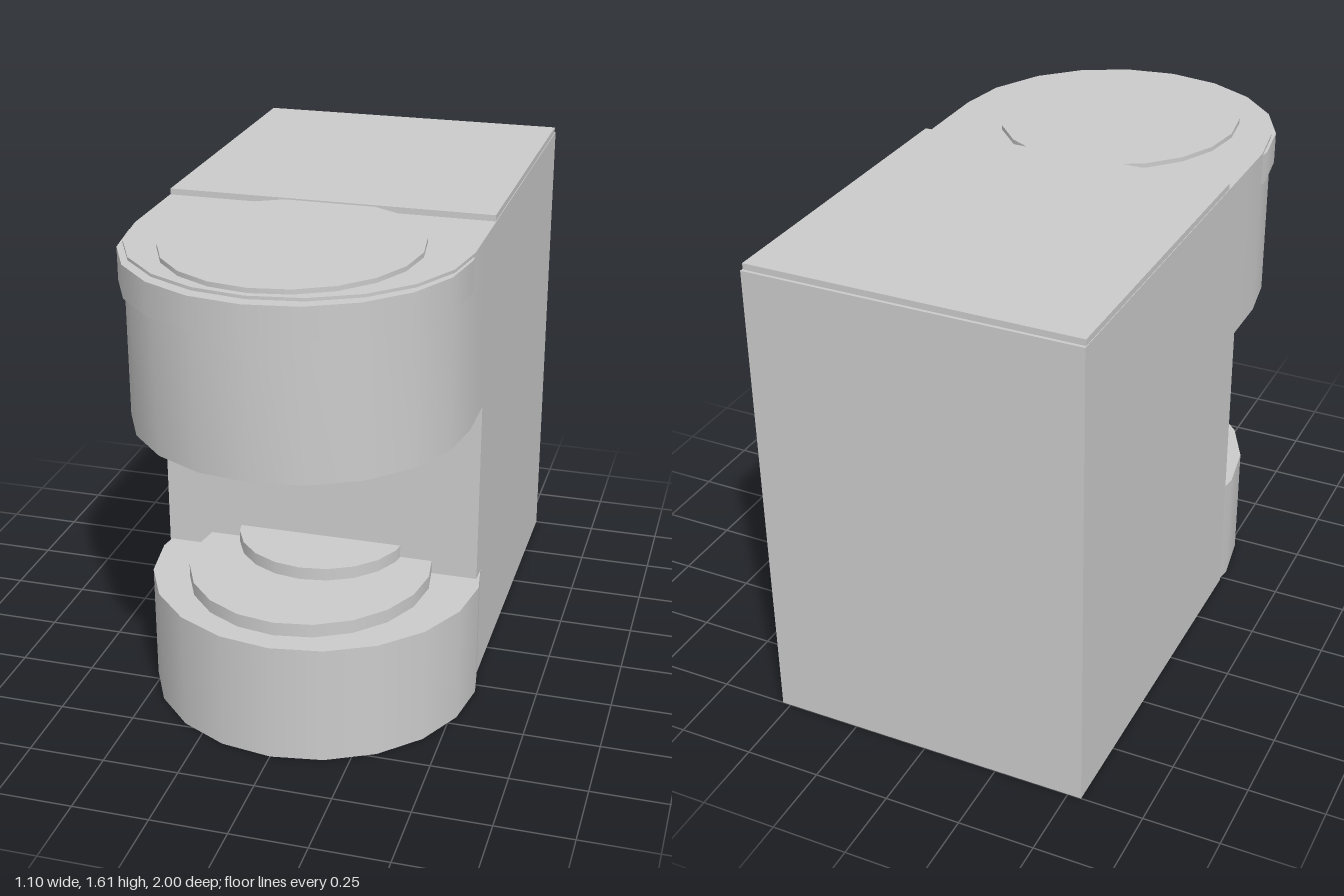
import * as THREE from 'three';
import { toCreasedNormals } from 'three/addons/utils/BufferGeometryUtils.js';

const material = new THREE.MeshStandardMaterial({ color: 0xcccccc });
const CX = -0.008; // centre line of the housing
const HALF = 0.537; // half width of the housing
const WALL = 0.235; // front wall of the cup recess

export function createModel() {
  const group = new THREE.Group();

  function add(name, geometry, x, y, z) {
    const mesh = new THREE.Mesh(geometry, material);
    mesh.name = name;
    mesh.position.set(x, y, z);
    group.add(mesh);
    return mesh;
  }

  // Block given by its vertical and depth limits
  function block(name, halfWidth, y0, y1, z0, z1) {
    add(name, new THREE.BoxGeometry(2 * halfWidth, y1 - y0, z1 - z0), CX, (y0 + y1) / 2, (z0 + z1) / 2);
  }

  // Slab with a straight back and a half-round front
  function roundFront(name, radius, y0, y1, back, centre) {
    const s = new THREE.Shape();
    s.moveTo(radius, -back);
    s.lineTo(-radius, -back);
    s.lineTo(-radius, -centre);
    s.absarc(0, -centre, radius, Math.PI, 2 * Math.PI, false);
    s.closePath();
    const g = new THREE.ExtrudeGeometry(s, { depth: y1 - y0, bevelEnabled: false, curveSegments: 5 });
    g.rotateX(-Math.PI / 2);
    add(name, toCreasedNormals(g, 0.5), CX, y0, 0);
  }

  // Flat disc, optionally stretched in depth
  function disc(name, x, radius, y0, y1, z, stretch = 1) {
    const g = new THREE.CylinderGeometry(radius, radius, y1 - y0, 20);
    add(name, g, x, (y0 + y1) / 2, z).scale.z = stretch;
  }

  // Housing and its raised rear lid
  block('body', HALF, 0, 1.59, -1, WALL);
  block('rearLid', HALF - 0.002, 1.59, 1.61, -0.99, 0.11);

  // Overhanging head with rim and lid
  roundFront('head', HALF, 1.018, 1.59, WALL, 0.42);
  disc('headRim', CX, 0.54, 1.475, 1.58, 0.46);
  disc('headLid', CX, 0.4, 1.58, 1.605, 0.505, 1.075);

  // Stepped outlet under the head
  disc('outletPlate', CX, 0.4, 0.992, 1.03, 0.48);
  disc('outlet', CX, 0.39, 0.967, 1.03, 0.21);

  // Round base with stepped cup stand
  disc('base', 0, 0.548, 0, 0.398, 0.29);
  disc('cupStand', CX, 0.4, 0.39, 0.443, 0.34, 1.05);
  disc('cupPlate', CX, 0.285, 0.43, 0.485, 0.185);

  return group;
}
